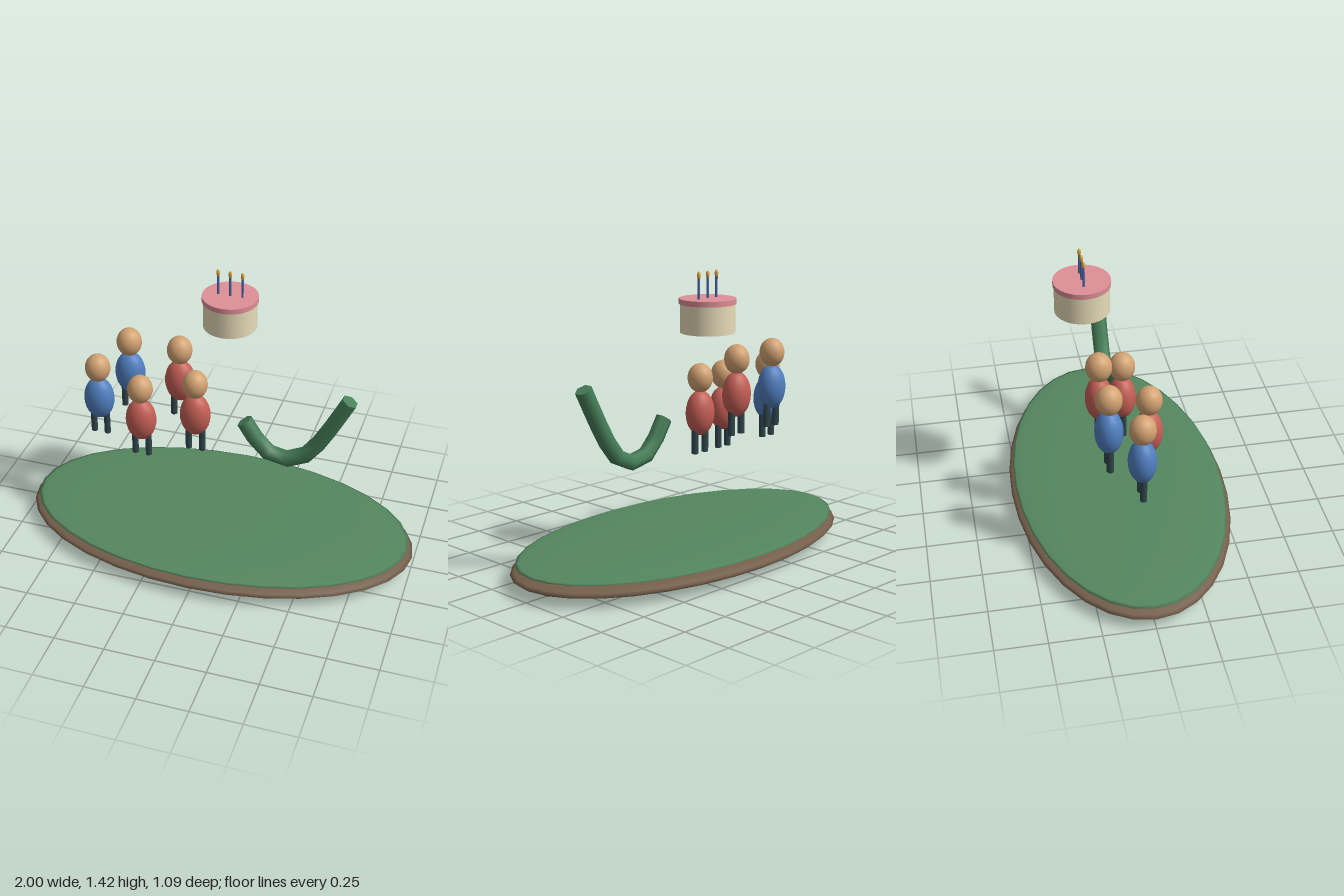
import * as THREE from 'three';

const material = (color) => new THREE.MeshStandardMaterial({ color });

const colors = {
  soil: material(0x755f4b), grass: material(0x54875f), slide: material(0x478059),
  skin: material(0xd2a272), red: material(0xc45f55), blue: material(0x507fc0),
  legs: material(0x30464b), sponge: material(0xe8dcb8), icing: material(0xde8f96),
  candle: material(0x5068a8), flame: material(0xe0a840),
};

function add(parent, name, geometry, mat, x = 0, y = 0, z = 0) {
  const mesh = new THREE.Mesh(geometry, mat);
  mesh.name = name;
  mesh.position.set(x, y, z);
  parent.add(mesh);
  return mesh;
}

// Sphere stretched to three radii
function ellipsoid(rx, ry, rz, w = 20, h = 14) {
  return new THREE.SphereGeometry(1, w, h).scale(rx, ry, rz);
}

// Figure with its feet at the group's origin
function createPerson(shirt) {
  const person = new THREE.Group();
  person.name = 'person';
  add(person, 'body', ellipsoid(0.077, 0.113, 0.067), shirt, 0, 0.203, 0);
  add(person, 'head', ellipsoid(0.063, 0.073, 0.063), colors.skin, 0, 0.378, 0);
  for (const side of [-1, 1]) {
    add(person, side > 0 ? 'leftLeg' : 'rightLeg',
      new THREE.CylinderGeometry(0.017, 0.017, 0.14, 8), colors.legs, side * 0.035, 0.07, 0);
  }
  return person;
}

// Cake with its underside at the group's origin
function createCake() {
  const cake = new THREE.Group();
  cake.name = 'cake';
  add(cake, 'sponge', new THREE.CylinderGeometry(0.131, 0.131, 0.136, 32), colors.sponge, 0, 0.068, 0);
  add(cake, 'icing', new THREE.CylinderGeometry(0.136, 0.136, 0.026, 32), colors.icing, 0, 0.149, 0);
  for (const x of [-0.06, 0, 0.06]) {
    add(cake, 'candle', new THREE.CylinderGeometry(0.006, 0.006, 0.11, 8), colors.candle, x, 0.212, 0);
    add(cake, 'flame', ellipsoid(0.009, 0.019, 0.009, 10, 8), colors.flame, x, 0.273, 0);
  }
  return cake;
}

// Six-sided curved bar with closed ends
function createCurvedBar() {
  const bar = new THREE.Group();
  bar.name = 'curvedBar';
  const points = [[0.126, 0.706], [0.225, 0.564], [0.315, 0.524], [0.436, 0.57], [0.53, 0.709], [0.639, 0.92]];
  const path = new THREE.CatmullRomCurve3(points.map(([x, y]) => new THREE.Vector3(x, y, 0)));
  const tube = new THREE.TubeGeometry(path, 8, 0.041, 6);
  add(bar, 'barSurface', tube, colors.slide);
  // End caps fan out from the centre to the tube's own end rings
  const pos = tube.attributes.position;
  for (const end of [0, 1]) {
    const centre = path.getPointAt(end);
    const outward = path.getTangentAt(end).multiplyScalar(end ? 1 : -1);
    const corners = [];
    for (let i = 0; i < 6; i++) {
      const a = new THREE.Vector3().fromBufferAttribute(pos, end * 56 + i);
      const b = new THREE.Vector3().fromBufferAttribute(pos, end * 56 + i + 1);
      const normal = a.clone().sub(centre).cross(b.clone().sub(centre));
      corners.push(centre, ...(normal.dot(outward) > 0 ? [a, b] : [b, a]));
    }
    const cap = new THREE.BufferGeometry().setFromPoints(corners);
    cap.computeVertexNormals();
    add(bar, 'barEnd', cap, colors.slide);
  }
  return bar;
}

export function createModel() {
  const model = new THREE.Group();
  model.name = 'celebrationIsland';

  // Flat oval island
  add(model, 'soil', ellipsoid(1, 0.06, 0.545, 32, 16), colors.soil, 0, 0.06, 0);
  add(model, 'grass', ellipsoid(0.975, 0.02, 0.524, 32, 16), colors.grass, 0, 0.105, 0);

  // Floating group of people: x, foot height, z, shirt
  const people = [
    [-0.63, 0.49, 0, colors.blue],
    [-0.51, 0.585, -0.132, colors.blue],
    [-0.38, 0.463, 0.08, colors.red],
    [-0.247, 0.585, -0.132, colors.red],
    [-0.126, 0.49, 0, colors.red],
  ];
  for (const [x, y, z, shirt] of people) {
    const person = createPerson(shirt);
    person.position.set(x, y, z);
    model.add(person);
  }

  const cake = createCake();
  cake.position.set(0, 1.129, -0.167);
  model.add(cake, createCurvedBar());
  return model;
}
